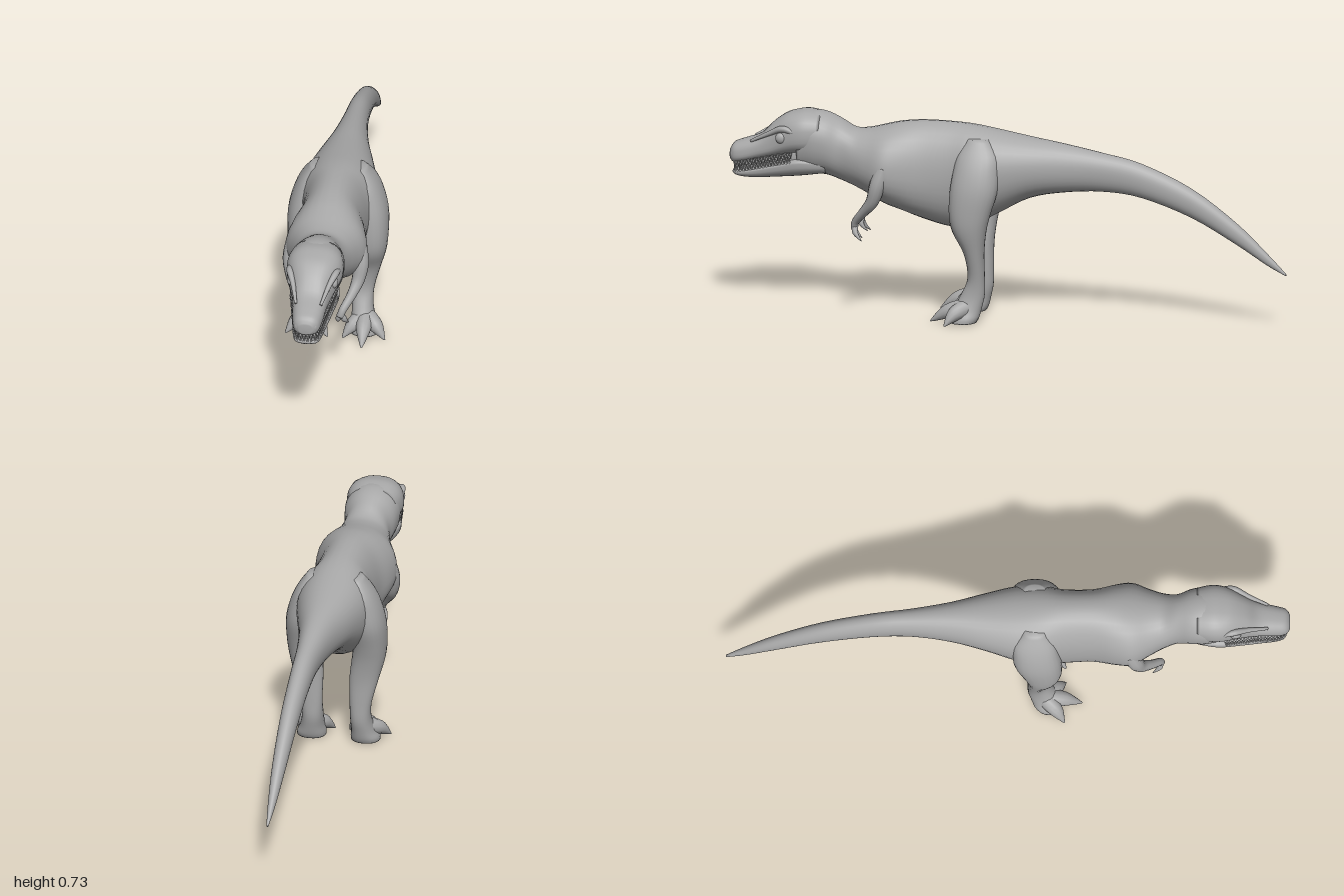
import * as THREE from 'three';

const hide = new THREE.MeshStandardMaterial({ color: 0xa8a8a8 });
hide.name = 'grey hide';

// Skin a list of closed rings (arrays of Vector3), capped at both ends and wound outwards
function skin(rings) {
  const n = rings[0].length, pos = [], idx = [];
  rings.forEach(r => r.forEach(p => pos.push(p.x, p.y, p.z)));
  for (let i = 0; i < rings.length - 1; i++) {
    for (let j = 0; j < n; j++) {
      const a = i * n + j, b = i * n + (j + 1) % n;
      idx.push(a, b, a + n, b, b + n, a + n);
    }
  }
  [0, rings.length - 1].forEach((k, end) => {
    const c = new THREE.Vector3();
    rings[k].forEach(p => c.addScaledVector(p, 1 / n));
    const ci = pos.length / 3;
    pos.push(c.x, c.y, c.z);
    for (let j = 0; j < n; j++) {
      const a = k * n + j, b = k * n + (j + 1) % n;
      if (end) idx.push(a, b, ci); else idx.push(b, a, ci);
    }
  });
  const P = i => new THREE.Vector3(pos[3 * i], pos[3 * i + 1], pos[3 * i + 2]);
  let volume = 0;
  for (let i = 0; i < idx.length; i += 3) volume += P(idx[i]).dot(P(idx[i + 1]).cross(P(idx[i + 2])));
  if (volume < 0) idx.reverse();
  const g = new THREE.BufferGeometry();
  g.setAttribute('position', new THREE.Float32BufferAttribute(pos, 3));
  g.setIndex(idx);
  g.computeVertexNormals();
  return g;
}

// Smoothly subdivide a table of cross-sections
function refine(table, steps) {
  const out = [], last = table.length - 1;
  for (let i = 0; i < last; i++) {
    const [a, b, c, d] = [i - 1, i, i + 1, i + 2].map(k => table[Math.min(last, Math.max(0, k))]);
    for (let s = 0; s < steps; s++) {
      const t = s / steps;
      out.push(b.map((v, k) => {
        const m0 = (c[k] - a[k]) / 2, m1 = (d[k] - v) / 2;
        return v + t * (m0 + t * (3 * (c[k] - v) - 2 * m0 - m1 + t * (2 * (v - c[k]) + m0 + m1)));
      }));
    }
  }
  out.push(table[last]);
  return out;
}

const pw = (v, e) => Math.sign(v) * Math.abs(v) ** e;

// Loft along z; rows are [z, top, bottom, half width, height of widest point]
function loftZ(table, e = 0.95, n = 32) {
  return skin(refine(table, 4).map(([z, top, bot, w, m]) => Array.from({ length: n }, (_, j) => {
    const a = j / n * Math.PI * 2, s = pw(Math.sin(a), e);
    return new THREE.Vector3(w * pw(Math.cos(a), e), m + s * (s > 0 ? top - m : m - bot), z);
  })));
}

// Loft along y; rows are [y, front z, back z, inner x, outer x]
function loftY(table, side, n = 24) {
  return skin(refine(table, 4).map(([y, zf, zb, xi, xo]) => Array.from({ length: n }, (_, j) => {
    const a = j / n * Math.PI * 2;
    return new THREE.Vector3(side * ((xi + xo) / 2 + (xo - xi) / 2 * pw(Math.cos(a), 0.9)),
      y, (zf + zb) / 2 + (zf - zb) / 2 * pw(Math.sin(a), 0.9));
  })));
}

// Tapered limb; rows are [x, y, z, radius]
function limb(table, side, n = 12) {
  const rows = refine(table, 5), pts = rows.map(r => new THREE.Vector3(r[0] * side, r[1], r[2]));
  return skin(pts.map((p, i) => {
    const t = pts[Math.min(i + 1, pts.length - 1)].clone().sub(pts[Math.max(i - 1, 0)]).normalize();
    const u = new THREE.Vector3(1, 0, 0).addScaledVector(t, -t.x).normalize(), v = t.clone().cross(u);
    return Array.from({ length: n }, (_, j) => {
      const a = j / n * Math.PI * 2, r = rows[i][3];
      return p.clone().addScaledVector(u, r * Math.cos(a)).addScaledVector(v, r * Math.sin(a));
    });
  }));
}

export function createModel() {
  const model = new THREE.Group();
  const add = (name, geometry, parent = model) => {
    const m = new THREE.Mesh(geometry, hide);
    m.name = name;
    parent.add(m);
    return m;
  };

  // Tail, trunk, neck and back of the head
  add('body', loftZ([
    [-1, 0.202, 0.194, 0.004, 0.198], [-0.93, 0.275, 0.232, 0.014, 0.253], [-0.82, 0.38, 0.303, 0.024, 0.34],
    [-0.66, 0.497, 0.393, 0.032, 0.445], [-0.48, 0.58, 0.458, 0.038, 0.52], [-0.34, 0.614, 0.475, 0.046, 0.55],
    [-0.2, 0.642, 0.467, 0.068, 0.555], [-0.08, 0.662, 0.443, 0.1, 0.555], [0.03, 0.682, 0.385, 0.128, 0.545],
    [0.12, 0.698, 0.337, 0.132, 0.53], [0.2, 0.706, 0.327, 0.118, 0.51], [0.3, 0.708, 0.352, 0.118, 0.51],
    [0.38, 0.7, 0.382, 0.138, 0.52], [0.44, 0.686, 0.405, 0.145, 0.53], [0.5, 0.672, 0.437, 0.118, 0.55],
    [0.55, 0.671, 0.46, 0.096, 0.57], [0.6, 0.7, 0.48, 0.083, 0.59], [0.65, 0.722, 0.497, 0.094, 0.62],
    [0.7, 0.728, 0.5, 0.098, 0.63], [0.75, 0.715, 0.505, 0.085, 0.62]]));

  // Head, with the mouth slightly open
  const head = new THREE.Group();
  head.name = 'head';
  model.add(head);
  add('snout', loftZ([
    [0.67, 0.722, 0.58, 0.09, 0.645], [0.72, 0.73, 0.575, 0.1, 0.645], [0.76, 0.725, 0.573, 0.098, 0.64],
    [0.8, 0.712, 0.567, 0.086, 0.625], [0.845, 0.68, 0.558, 0.07, 0.6], [0.89, 0.636, 0.547, 0.06, 0.585],
    [0.95, 0.614, 0.534, 0.053, 0.565], [0.985, 0.6, 0.528, 0.044, 0.562], [1, 0.578, 0.54, 0.024, 0.56]], 0.8), head);
  add('lowerJaw', loftZ([
    [0.65, 0.56, 0.505, 0.07, 0.54], [0.74, 0.568, 0.493, 0.088, 0.548], [0.82, 0.545, 0.485, 0.076, 0.53],
    [0.9, 0.52, 0.478, 0.06, 0.51], [0.95, 0.508, 0.479, 0.051, 0.5], [0.978, 0.505, 0.485, 0.04, 0.497],
    [0.99, 0.502, 0.493, 0.02, 0.497]], 0.8), head);
  add('mouthInterior', loftZ([
    [0.72, 0.61, 0.53, 0.075, 0.57], [0.82, 0.59, 0.52, 0.06, 0.555],
    [0.9, 0.565, 0.5, 0.045, 0.53], [0.965, 0.55, 0.495, 0.033, 0.52]], 0.6), head);

  // Two rows of teeth following the lip line
  const half = [[0.083, 0.57, 0.77], [0.07, 0.556, 0.83], [0.055, 0.538, 0.9], [0.047, 0.526, 0.95], [0.034, 0.519, 0.977]];
  const lip = new THREE.CatmullRomCurve3([...half, [0, 0.517, 0.985], ...half.slice().reverse().map(([x, y, z]) => [-x, y, z])]
    .map(p => new THREE.Vector3(...p)));
  const tooth = new THREE.ConeGeometry(0.0055, 0.026, 6);
  for (let i = 0; i < 41; i++) {
    const upper = add('upperTooth', tooth, head);
    upper.position.copy(lip.getPointAt(i / 40));
    upper.position.y += 0.004;
    upper.rotation.x = Math.PI;
    if (i === 40) break;
    const lower = add('lowerTooth', tooth, head);
    lower.position.copy(lip.getPointAt((i + 0.5) / 40));
    lower.position.y -= 0.008;
  }

  const ball = new THREE.SphereGeometry(1, 20, 14);
  for (const side of [1, -1]) {
    const label = side > 0 ? 'left' : 'right';

    // Eye, brow ridge and nostril
    const eye = add(label + 'Eye', ball, head);
    eye.position.set(side * 0.077, 0.637, 0.805);
    eye.scale.set(0.014, 0.02, 0.021);
    add(label + 'Brow', limb([[0.088, 0.66, 0.76, 0.008], [0.082, 0.672, 0.8, 0.012],
      [0.064, 0.65, 0.85, 0.009], [0.045, 0.615, 0.92, 0.005]], side), head);
    const nostril = add(label + 'Nostril', ball, head);
    nostril.position.set(side * 0.031, 0.562, 0.976);
    nostril.scale.set(0.013, 0.024, 0.02);

    // Arm with two hooked claws
    const arm = new THREE.Group();
    arm.name = label + 'Arm';
    model.add(arm);
    add('foreArm', limb([[0.115, 0.55, 0.43, 0.03], [0.125, 0.49, 0.45, 0.029], [0.118, 0.43, 0.47, 0.023],
      [0.098, 0.385, 0.505, 0.017], [0.073, 0.345, 0.537, 0.014], [0.064, 0.318, 0.543, 0.013]], side), arm);
    add('outerClaw', limb([[0.066, 0.33, 0.54, 0.011], [0.078, 0.305, 0.538, 0.01], [0.09, 0.277, 0.513, 0.001]], side), arm);
    add('innerClaw', limb([[0.064, 0.33, 0.54, 0.011], [0.056, 0.306, 0.54, 0.009], [0.053, 0.281, 0.517, 0.001]], side), arm);

    // Leg from hip to ankle, with three spread toes
    const leg = new THREE.Group();
    leg.name = label + 'Leg';
    model.add(leg);
    add('thighAndShin', loftY([
      [0.665, 0.13, 0.06, 0.05, 0.1], [0.61, 0.165, 0.02, 0.05, 0.138], [0.55, 0.18, 0.015, 0.05, 0.164],
      [0.48, 0.19, 0.02, 0.055, 0.179], [0.4, 0.192, 0.044, 0.06, 0.18], [0.335, 0.18, 0.06, 0.055, 0.173],
      [0.255, 0.142, 0.07, 0.048, 0.152], [0.165, 0.13, 0.07, 0.05, 0.129], [0.1, 0.155, 0.07, 0.05, 0.125],
      [0.05, 0.183, 0.08, 0.05, 0.135], [0.02, 0.195, 0.088, 0.046, 0.148], [0.003, 0.195, 0.097, 0.046, 0.15]], side), leg);
    for (const [name, x, z] of [['innerToe', 0.027, 0.205], ['middleToe', 0.102, 0.262], ['outerToe', 0.177, 0.2]]) {
      const toe = add(name, limb([[0.1, 0.07, 0.13, 0.032], [0.1 + (x - 0.1) * 0.55, 0.05, 0.14 + (z - 0.14) * 0.5, 0.026],
        [x, 0.013, z, 0.003]], side), leg);
      toe.geometry.translate(0, -0.012, 0);
      // Flatten the sole onto the ground
      const p = toe.geometry.attributes.position;
      for (let i = 0; i < p.count; i++) p.setY(i, Math.max(0, p.getY(i)));
      toe.geometry.computeVertexNormals();
    }
  }
  return model;
}
